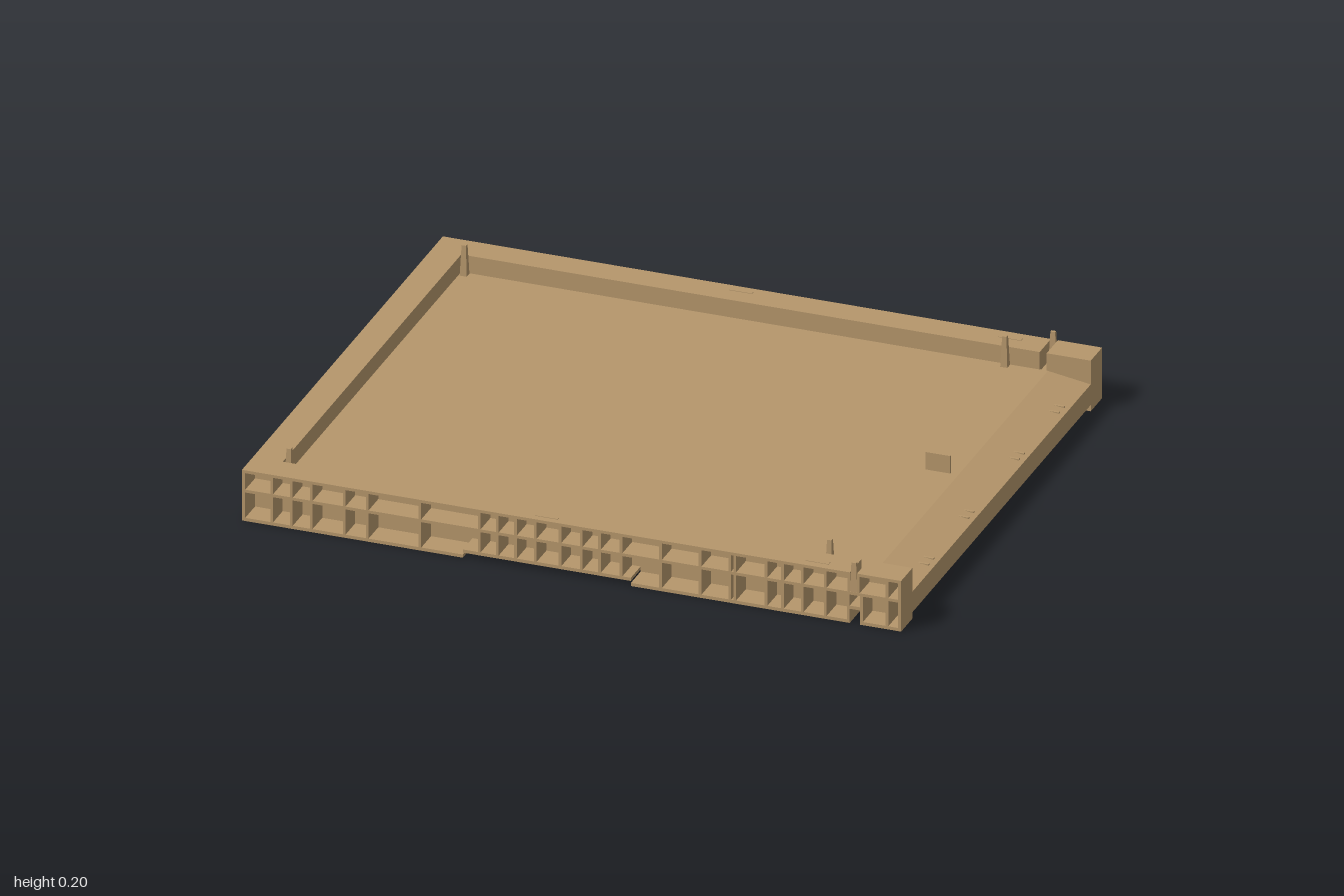
import * as THREE from 'three';

export function createModel() {
  const model = new THREE.Group();
  model.name = 'palletTray';
  const mat = new THREE.MeshStandardMaterial({ color: 0xb5966b });

  const group = (name, parent = model) => {
    const g = new THREE.Group();
    g.name = name;
    parent.add(g);
    return g;
  };
  // Box given by its bounds
  const box = (parent, name, x0, x1, y0, y1, z0, z1) => {
    const m = new THREE.Mesh(new THREE.BoxGeometry(x1 - x0, y1 - y0, z1 - z0), mat);
    m.position.set((x0 + x1) / 2, (y0 + y1) / 2, (z0 + z1) / 2);
    m.name = name;
    parent.add(m);
    return m;
  };
  // Thin upright plate between two plan points
  const plate = (parent, name, ax, az, bx, bz, y0, y1, t) => {
    const len = Math.hypot(bx - ax, bz - az);
    const m = new THREE.Mesh(new THREE.BoxGeometry(len, y1 - y0, t), mat);
    m.position.set((ax + bx) / 2, (y0 + y1) / 2, (az + bz) / 2);
    m.rotation.y = -Math.atan2(bz - az, bx - ax);
    m.name = name;
    parent.add(m);
  };
  // Square pin narrowing to its top
  const pin = (parent, name, x, z, y0, y1, w, d) => {
    const g = new THREE.CylinderGeometry(0.42, Math.SQRT1_2, 1, 4, 1).rotateY(Math.PI / 4).toNonIndexed();
    g.scale(w, y1 - y0, d);
    g.computeVertexNormals();
    const m = new THREE.Mesh(g, mat);
    m.position.set(x, (y0 + y1) / 2, z);
    m.name = name;
    parent.add(m);
  };

  // Floor: flat sheet with a sloping lip at the open end
  const profile = new THREE.Shape([
    [-0.92, 0.09], [0.86, 0.09], [0.985, 0.072], [0.985, 0.02], [1, 0.02],
    [1, 0.085], [0.87, 0.105], [-0.92, 0.105],
  ].map(p => new THREE.Vector2(...p)));
  const floor = new THREE.Mesh(
    new THREE.ExtrudeGeometry(profile, { depth: 1.424, bevelEnabled: false }).translate(0, 0, -0.712), mat);
  floor.name = 'floor';
  model.add(floor);
  box(model, 'floorTab', 0.77, 0.845, 0.1, 0.16, -0.003, 0.003);

  // Side rails: open cells outside, with a raised underside and a latch slot
  const ribXs = [-0.91, -0.85, -0.79, -0.69, -0.62, -0.46, -0.28, -0.225, -0.17, -0.11, -0.035, 0.03,
    0.085, 0.15, 0.27, 0.39, 0.48, 0.495, 0.59, 0.64, 0.7, 0.77, 0.84, 0.88, 0.957];
  const spans = [[-1, -0.33, 0], [-0.33, 0.18, 0.016], [0.18, 0.84, 0], [0.84, 0.88, 0.045], [0.88, 1, 0]];
  const bottomAt = x => (x > -0.33 && x < 0.18 ? 0.016 : 0);
  for (const s of [1, -1]) {
    const rail = group(s > 0 ? 'frontRail' : 'backRail');
    const part = (name, x0, x1, y0, y1, a, b) =>
      box(rail, name, x0, x1, y0, y1, Math.min(s * a, s * b), Math.max(s * a, s * b));
    for (const [x0, x1, y] of spans) {
      part('railBottom', x0, x1, y, y + 0.01, 0.71, 0.8);
      part('railInnerWall', x0, x1, y, 0.1, 0.71, 0.722);
    }
    part('railShelf', -1, 1, 0.09, 0.099, 0.71, 0.8);
    for (const [x0, x1] of [[-1, 0.845], [0.866, 1]]) {
      part('railTop', x0, x1, 0.151, 0.16, 0.71, 0.8);
      part('railUpperWall', x0, x1, 0.095, 0.16, 0.71, 0.722);
    }
    for (const x of ribXs) {
      part('railRib', x - 0.004, x + 0.004, bottomAt(x), x === 0.84 || x === 0.88 ? 0.095 : 0.158, 0.715, 0.8);
    }
    // Walls of the latch slot, and solid rail ends
    part('slotWall', 0.837, 0.845, 0.095, 0.16, 0.71, 0.8);
    part('slotWall', 0.866, 0.874, 0.095, 0.16, 0.71, 0.8);
    part('railEnd', -1, -0.99, 0, 0.16, 0.71, 0.8);
    part('railEnd', 0.99, 1, 0, 0.16, 0.71, 0.8);
    // Flat pads on the rail top
    part('railPad', -0.12, -0.05, 0.158, 0.1615, 0.767, 0.779);
    part('railPad', 0.7, 0.77, 0.158, 0.1615, 0.758, 0.775);

    pin(rail, 'latchPin', 0.855, s * 0.792, 0.095, 0.19, 0.024, 0.015);
    pin(rail, 'stackingPin', -0.895, s * 0.697, 0.1, 0.2, 0.022, 0.022);
    pin(rail, 'stackingPin', 0.745, s * 0.697, 0.1, 0.2, 0.022, 0.022);
  }

  // Closed end beam: hollow, ribbed and open underneath
  const beam = group('endBeam');
  box(beam, 'beamTop', -1, -0.91, 0.15, 0.16, -0.712, 0.712);
  box(beam, 'beamOuterWall', -1, -0.99, 0.02, 0.16, -0.712, 0.712);
  box(beam, 'beamInnerWall', -0.92, -0.91, 0.02, 0.16, -0.712, 0.712);
  for (let i = 0; i < 15; i++) {
    const z = -0.66 + i * 1.32 / 14;
    box(beam, 'beamRib', -0.992, -0.918, 0.025, 0.152, z - 0.004, z + 0.004);
  }

  // Underside ribs: paired walls across, single walls along
  const under = group('undersideRibs');
  for (const x of [0.62, 0.4, 0.18, -0.27, -0.49, -0.71]) {
    for (const d of [-0.025, 0.025]) {
      box(under, 'crossRib', x + d - 0.004, x + d + 0.004, 0.025, 0.092, -0.712, 0.712);
    }
  }
  for (const z of [-0.52, -0.2, 0.2, 0.52]) {
    for (const d of [-0.02, 0.02]) {
      box(under, 'longRib', -0.915, 0.985, 0.035, 0.092, z + d - 0.004, z + d + 0.004);
    }
  }
  // Braced channels: two walls with zigzag plates between
  for (const [x0, x1] of [[-0.08, 0], [0.74, 0.82], [0.82, 0.9]]) {
    const channel = group('bracedChannel', under);
    for (const x of [x0, x1]) {
      box(channel, 'channelWall', x - 0.004, x + 0.004, 0.05, 0.092, -0.712, 0.712);
    }
    const n = 18;
    for (let i = 0; i < n; i++) {
      const za = -0.705 + i * 1.41 / n, zb = za + 1.41 / n;
      const [a, b] = i % 2 ? [x0, x1] : [x1, x0];
      plate(channel, 'channelBrace', a, za, b, zb, 0.03, 0.092, 0.006);
    }
  }
  return model;
}
